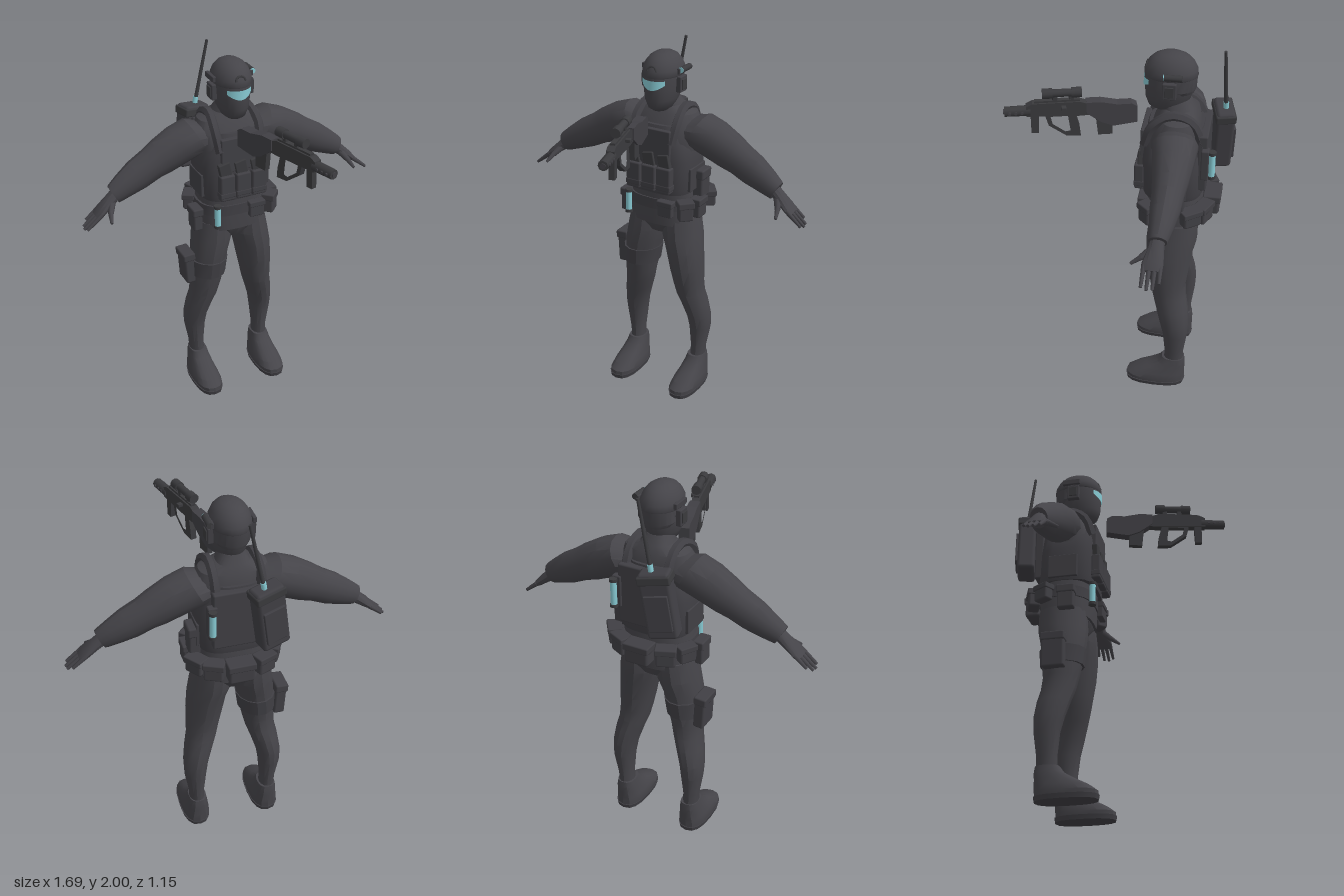
import * as THREE from 'three';
import { toCreasedNormals } from 'three/addons/utils/BufferGeometryUtils.js';
import { RoundedBoxGeometry } from 'three/addons/geometries/RoundedBoxGeometry.js';

const mat = (name, color) => {
  const m = new THREE.MeshStandardMaterial({ color });
  m.name = name;
  return m;
};

export function createModel() {
  const suit = mat('charcoal suit', 0x454449);
  const gear = mat('dark gear', 0x403f44);
  const metal = mat('gunmetal', 0x3a3a3d);
  const glow = mat('pale cyan', 0x86c9d2);
  glow.side = THREE.DoubleSide;
  const root = new THREE.Group();
  root.name = 'soldier';

  const add = (name, geo, m, parent = root) => {
    const mesh = new THREE.Mesh(geo, m);
    mesh.name = name;
    parent.add(mesh);
    return mesh;
  };

  // Skin over elliptical rings [x, y, z, a, b]: level rings, or leaning rings across an arm
  function loft(rings, { n = 16, p = 2, arm = false, s = 1, crease = 0.5 } = {}) {
    const pos = [], idx = [];
    const pw = v => Math.sign(v) * Math.abs(v) ** (2 / p);
    for (const [x, y, z, a, b] of rings) {
      for (let i = 0; i < n; i++) {
        const t = (i / n) * Math.PI * 2, c = pw(Math.cos(t)), d = pw(Math.sin(t));
        if (arm) pos.push(s * (x + 0.47 * a * c), y + 0.88 * a * c, z + b * d);
        else pos.push(s * x + a * c, y, z + b * d);
      }
    }
    const flip = arm && s > 0;
    const tri = (a, b, c) => (flip ? idx.push(a, c, b) : idx.push(a, b, c));
    const last = rings.length - 1;
    for (let r = 0; r < last; r++) {
      for (let i = 0; i < n; i++) {
        const a = r * n + i, b = r * n + (i + 1) % n;
        tri(a, a + n, b);
        tri(b, a + n, b + n);
      }
    }
    for (const r of [0, last]) {
      const [x, y, z] = rings[r], k = pos.length / 3;
      pos.push(s * x, y, z);
      for (let i = 0; i < n; i++) {
        const a = r * n + i, b = r * n + (i + 1) % n;
        r === 0 ? tri(k, a, b) : tri(k, b, a);
      }
    }
    const g = new THREE.BufferGeometry();
    g.setAttribute('position', new THREE.Float32BufferAttribute(pos, 3));
    g.setIndex(idx);
    return toCreasedNormals(g, crease);
  }

  // Tapered rod between two points
  function rod(name, m, a, b, r1, r2 = r1, n = 10, parent = root) {
    const A = new THREE.Vector3(...a), B = new THREE.Vector3(...b);
    const dir = B.clone().sub(A);
    const mesh = add(name, new THREE.CylinderGeometry(r2, r1, dir.length(), n), m, parent);
    mesh.position.copy(A).add(B).multiplyScalar(0.5);
    mesh.quaternion.setFromUnitVectors(new THREE.Vector3(0, 1, 0), dir.normalize());
    return mesh;
  }

  function box(name, m, [w, h, d], [x, y, z], ry = 0, rz = 0, parent = root) {
    const r = Math.min(w, h, d) * 0.18;
    const mesh = add(name, new RoundedBoxGeometry(w, h, d, 1, r), m, parent);
    mesh.position.set(x, y, z);
    mesh.rotation.set(0, ry, rz);
    return mesh;
  }

  // Pouch with a closing flap, outward along its local +z
  function pouch(name, size, at, ry = 0, rz = 0) {
    const [w, h, d] = size;
    const g = new THREE.Group();
    g.name = name;
    g.position.set(...at);
    g.rotation.set(0, ry, rz);
    box('pouchBody', gear, size, [0, 0, 0], 0, 0, g);
    box('pouchFlap', gear, [w + 0.01, h * 0.35, d + 0.012], [0, h * 0.34, 0], 0, 0, g);
    root.add(g);
  }

  // Torso and jacket hem
  add('torso', loft([
    [0, 0.97, -0.295, 0.1, 0.1], [0, 1.03, -0.295, 0.175, 0.135], [0, 1.25, -0.285, 0.172, 0.135],
    [0, 1.4, -0.275, 0.18, 0.14], [0, 1.52, -0.275, 0.195, 0.14], [0, 1.6, -0.285, 0.2, 0.125],
    [0, 1.66, -0.295, 0.17, 0.1], [0, 1.695, -0.295, 0.085, 0.08], [0, 1.74, -0.28, 0.06, 0.068],
  ], { n: 24, p: 2.4 }), suit);
  add('jacketHem', loft([
    [0, 1.035, -0.29, 0.188, 0.143], [0, 1.12, -0.29, 0.19, 0.148], [0, 1.23, -0.285, 0.18, 0.142],
  ], { n: 24, p: 2.6 }), suit);
  add('belt', loft([
    [0, 1.13, -0.29, 0.197, 0.155], [0, 1.19, -0.29, 0.195, 0.155],
  ], { n: 24, p: 2.6 }), gear);

  // Armoured vest
  add('vest', loft([
    [0, 1.23, -0.28, 0.185, 0.155], [0, 1.26, -0.28, 0.192, 0.16], [0, 1.42, -0.275, 0.196, 0.158],
    [0, 1.5, -0.275, 0.178, 0.153], [0, 1.57, -0.28, 0.14, 0.15], [0, 1.61, -0.285, 0.125, 0.138],
  ], { n: 28, p: 3.2 }), gear);
  box('chestPanel', gear, [0.23, 0.19, 0.03], [0, 1.5, -0.13]);
  box('backPanel', gear, [0.28, 0.32, 0.05], [0, 1.44, -0.43]);
  for (const s of [1, -1]) {
    const path = new THREE.CatmullRomCurve3([
      [0.115, 1.52, -0.135], [0.125, 1.63, -0.175], [0.115, 1.69, -0.27], [0.115, 1.66, -0.37], [0.115, 1.53, -0.43],
    ].map(([x, y, z]) => new THREE.Vector3(s * x, y, z)));
    add('shoulderStrap', toCreasedNormals(new THREE.TubeGeometry(path, 12, 0.026, 6), 0.5), gear);
    box('sidePlate', gear, [0.02, 0.13, 0.16], [s * 0.19, 1.31, -0.28]);
  }

  // Magazine pouches on the chest
  for (const i of [-1, 0, 1]) {
    const x = i * 0.092;
    box('magazinePouch', gear, [0.084, 0.145, 0.05], [x, 1.325, -0.112]);
    box('magazinePouchBand', gear, [0.088, 0.03, 0.054], [x, 1.285, -0.112]);
    box('magazine', metal, [0.066, 0.1, 0.03], [x - 0.005, 1.415, -0.118], 0, 0.2);
  }

  // Belt pouches
  pouch('frontLeftPouch', [0.08, 0.11, 0.06], [0.19, 1.15, -0.165], 0.8);
  pouch('sideLeftPouch', [0.085, 0.11, 0.055], [0.222, 1.15, -0.255], 1.57);
  pouch('upperLeftPouch', [0.09, 0.16, 0.06], [0.205, 1.27, -0.31], 1.57);
  pouch('rearLeftPouch', [0.1, 0.09, 0.065], [0.21, 1.16, -0.39], 2.2);
  pouch('backLeftPouch', [0.1, 0.1, 0.065], [0.135, 1.15, -0.45], 2.7);
  pouch('backPouch', [0.135, 0.11, 0.08], [0.01, 1.15, -0.485], Math.PI);
  pouch('backRightPouch', [0.1, 0.1, 0.065], [-0.125, 1.15, -0.455], -2.75);
  pouch('rearRightPouch', [0.09, 0.09, 0.055], [-0.2, 1.15, -0.38], -2.1);
  pouch('sideRightPouch', [0.09, 0.13, 0.05], [-0.218, 1.105, -0.25], -1.57);
  pouch('frontPouch', [0.085, 0.09, 0.035], [0.09, 1.15, -0.13]);

  // Glowing light sticks with dark caps
  for (const [name, x, y, z, h] of [['beltLightStick', -0.14, 1.15, -0.125, 0.12], ['backLightStick', 0.15, 1.45, -0.48, 0.14]]) {
    rod(name, glow, [x, y - h / 2, z], [x, y + h / 2, z], 0.017);
    for (const k of [-1, 1]) rod(name + 'Cap', metal, [x, y + k * h / 2 - 0.008, z], [x, y + k * h / 2 + 0.008, z], 0.021);
  }
  box('lightStickHolder', gear, [0.05, 0.17, 0.04], [0.145, 1.45, -0.445]);

  // Radio pack and antenna
  const radio = new THREE.Group();
  radio.name = 'radio';
  radio.position.set(-0.125, 1.475, -0.505);
  radio.rotation.set(0, 0.25, -0.15);
  root.add(radio);
  box('radioBody', gear, [0.155, 0.35, 0.095], [0, 0, 0], 0, 0, radio);
  box('radioLid', metal, [0.165, 0.045, 0.105], [0, 0.14, 0], 0, 0, radio);
  box('radioPocket', gear, [0.12, 0.19, 0.02], [0, -0.03, -0.05], 0, 0, radio);
  rod('antennaCollar', glow, [-0.088, 1.645, -0.52], [-0.082, 1.68, -0.52], 0.014);
  rod('antenna', metal, [-0.087, 1.65, -0.52], [-0.016, 1.995, -0.505], 0.011, 0.008, 8);

  // Head, helmet and visor
  add('head', loft([
    [0, 1.675, -0.23, 0.04, 0.06], [0, 1.695, -0.228, 0.062, 0.09], [0, 1.74, -0.235, 0.082, 0.113],
    [0, 1.8, -0.243, 0.093, 0.125], [0, 1.86, -0.246, 0.098, 0.13], [0, 1.9, -0.246, 0.096, 0.125],
  ], { n: 24, crease: 0.8 }), suit);
  add('helmet', loft([
    [0, 1.865, -0.248, 0.1, 0.132], [0, 1.87, -0.248, 0.104, 0.134], [0, 1.9, -0.248, 0.102, 0.131],
    [0, 1.935, -0.248, 0.088, 0.113], [0, 1.96, -0.248, 0.068, 0.088], [0, 1.976, -0.248, 0.043, 0.056],
    [0, 1.983, -0.248, 0.014, 0.018],
  ], { n: 24, crease: 0.8 }), suit);
  add('helmetBack', loft([
    [0, 1.78, -0.285, 0.075, 0.082], [0, 1.8, -0.285, 0.088, 0.09], [0, 1.88, -0.285, 0.09, 0.094],
  ], { n: 20 }), suit);
  const mount = add('helmetMount', new THREE.TorusGeometry(0.026, 0.006, 6, 16, Math.PI), metal);
  mount.position.set(0, 1.9, -0.123);
  mount.rotation.x = -0.35;
  const visorGeo = new THREE.CylinderGeometry(1, 1, 1, 16, 1, true, -0.72, 1.44);
  const vp = visorGeo.attributes.position;
  for (let i = 0; i < vp.count; i++) {
    const k = (vp.getX(i) / 0.66) ** 2;
    vp.setXYZ(i, vp.getX(i) * 0.101, vp.getY(i) > 0 ? 1.853 : 1.802 + 0.028 * k, vp.getZ(i) * 0.133 - 0.246);
  }
  visorGeo.computeVertexNormals();
  add('visor', visorGeo, glow);
  for (const s of [1, -1]) {
    box('earCup', gear, [0.03, 0.085, 0.068], [s * 0.104, 1.822, -0.252]);
    box('earCupPad', metal, [0.012, 0.055, 0.045], [s * 0.119, 1.822, -0.252]);
    box('helmetRail', gear, [0.02, 0.03, 0.1], [s * 0.104, 1.893, -0.265]);
  }
  rod('headLamp', metal, [0.115, 1.9, -0.315], [0.115, 1.9, -0.226], 0.016);
  rod('headLampLens', glow, [0.115, 1.9, -0.227], [0.115, 1.9, -0.222], 0.015);

  // Arms, hands, legs and boots
  for (const s of [1, -1]) {
    add('arm', loft([
      [0.1, 1.57, -0.29, 0.07, 0.09], [0.19, 1.57, -0.3, 0.104, 0.115], [0.28, 1.535, -0.3, 0.108, 0.105],
      [0.38, 1.485, -0.3, 0.101, 0.09], [0.44, 1.455, -0.298, 0.09, 0.08], [0.52, 1.413, -0.294, 0.086, 0.074],
      [0.6, 1.37, -0.288, 0.07, 0.06], [0.65, 1.342, -0.282, 0.058, 0.05], [0.662, 1.335, -0.28, 0.054, 0.046],
    ], { arm: true, s, n: 14 }), suit);
    add('hand', loft([
      [0.64, 1.345, -0.28, 0.034, 0.034], [0.69, 1.305, -0.275, 0.03, 0.04],
      [0.74, 1.265, -0.268, 0.023, 0.052], [0.77, 1.24, -0.268, 0.013, 0.047],
    ], { arm: true, s, n: 12 }), suit);
    [0.06, 0.085, 0.09, 0.08].forEach((len, i) => {
      const z = -0.307 + i * 0.026;
      const tip = [s * (0.755 + len * 0.95), 1.252 - len * 0.76, z - 0.002 + i * 0.002];
      rod('finger', suit, [s * 0.745, 1.26, z], tip, 0.013, 0.008, 7);
    });
    rod('thumbBase', suit, [s * 0.675, 1.31, -0.265], [s * 0.705, 1.268, -0.208], 0.021, 0.015, 7);
    rod('thumb', suit, [s * 0.703, 1.272, -0.213], [s * 0.718, 1.236, -0.16], 0.015, 0.008, 7);

    add('leg', loft([
      [0.2, 0.1, -0.33, 0.042, 0.055], [0.205, 0.23, -0.333, 0.042, 0.053], [0.21, 0.36, -0.335, 0.06, 0.068],
      [0.205, 0.44, -0.327, 0.067, 0.08], [0.185, 0.53, -0.31, 0.075, 0.088], [0.165, 0.6, -0.293, 0.08, 0.091],
      [0.155, 0.67, -0.283, 0.087, 0.095], [0.145, 0.76, -0.28, 0.096, 0.11], [0.13, 0.87, -0.28, 0.102, 0.123],
      [0.11, 0.96, -0.29, 0.11, 0.135], [0.1, 1.07, -0.295, 0.1, 0.13],
    ], { s, n: 14 }), suit);
    add('boot', loft([
      [0.2, 0.02, -0.23, 0.074, 0.163], [0.2, 0.045, -0.231, 0.077, 0.163], [0.2, 0.075, -0.252, 0.071, 0.143],
      [0.2, 0.11, -0.287, 0.061, 0.108], [0.2, 0.145, -0.318, 0.055, 0.078], [0.2, 0.18, -0.328, 0.048, 0.063],
    ], { s, p: 2.6 }), suit);
    add('bootSole', loft([
      [0.2, 0, -0.23, 0.074, 0.163], [0.2, 0.024, -0.23, 0.079, 0.168],
    ], { s, p: 2.6 }), gear);
  }

  // Thigh strap and case on the right leg
  add('thighStrap', loft([
    [0.146, 0.735, -0.28, 0.102, 0.117], [0.138, 0.83, -0.28, 0.107, 0.126],
  ], { s: -1, n: 14 }), gear);
  box('thighCase', gear, [0.06, 0.185, 0.12], [-0.258, 0.785, -0.3], 0, 0.06);
  box('thighCaseLid', gear, [0.07, 0.045, 0.128], [-0.264, 0.858, -0.3], 0, 0.06);

  // Rifle, floating ahead of the chest; profiles are [along, up]
  const rifle = new THREE.Group();
  rifle.name = 'rifle';
  rifle.rotation.y = 0.27;
  rifle.scale.z = 1.035;
  root.add(rifle);
  const prism = (name, m, pts, t, hole) => {
    const toPath = a => a.map(p => new THREE.Vector2(...p));
    const shape = new THREE.Shape(toPath(pts));
    if (hole) shape.holes.push(new THREE.Path(toPath(hole)));
    const g = new THREE.ExtrudeGeometry(shape, { depth: t, bevelEnabled: false });
    g.translate(0, 0, -t / 2).rotateY(-Math.PI / 2);
    add(name, g, m, rifle);
  };
  prism('receiver', metal, [[0.46, 1.635], [0.46, 1.69], [0.43, 1.705], [0.2, 1.705], [0.16, 1.69], [0.09, 1.695],
    [0.03, 1.68], [0.03, 1.6], [0.12, 1.63], [0.2, 1.625]], 0.042);
  prism('stock', gear, [[0.17, 1.7], [0.1, 1.7], [0.02, 1.682], [-0.05, 1.682], [-0.077, 1.665], [-0.077, 1.575],
    [0.04, 1.56], [0.1, 1.585], [0.17, 1.64]], 0.055);
  prism('gripFrame', metal, [[0.37, 1.63], [0.355, 1.575], [0.27, 1.51], [0.2, 1.505], [0.205, 1.56], [0.225, 1.64]], 0.032,
    [[0.345, 1.625], [0.335, 1.582], [0.275, 1.535], [0.25, 1.54], [0.26, 1.625]]);
  prism('rifleMagazine', metal, [[0.125, 1.61], [0.115, 1.505], [0.045, 1.505], [0.045, 1.58]], 0.03);
  prism('foregrip', metal, [[0.44, 1.64], [0.44, 1.535], [0.405, 1.535], [0.4, 1.64]], 0.03);
  prism('topRail', metal, [[0.42, 1.7], [0.42, 1.715], [0.2, 1.715], [0.2, 1.7]], 0.025);
  rod('barrelShroud', metal, [0, 1.66, 0.44], [0, 1.66, 0.565], 0.028, 0.026, 8, rifle);
  rod('muzzle', gear, [0, 1.66, 0.56], [0, 1.66, 0.57], 0.014, 0.014, 8, rifle);
  for (const z of [0.48, 0.51, 0.54]) rod('shroudVent', gear, [-0.03, 1.66, z], [0.03, 1.66, z], 0.008, 0.008, 6, rifle);
  rod('scope', metal, [0, 1.75, 0.2], [0, 1.75, 0.37], 0.02, 0.02, 10, rifle);
  for (const z of [0.19, 0.33]) rod('scopeBell', metal, [0, 1.75, z], [0, 1.75, z + 0.05], 0.026, 0.026, 10, rifle);
  for (const z of [0.24, 0.32]) box('scopeMount', metal, [0.022, 0.04, 0.025], [0, 1.723, z], 0, 0, rifle);
  box('sideLever', metal, [0.03, 0.018, 0.025], [0.032, 1.68, 0.28], 0, 0, rifle);
  return root;
}
